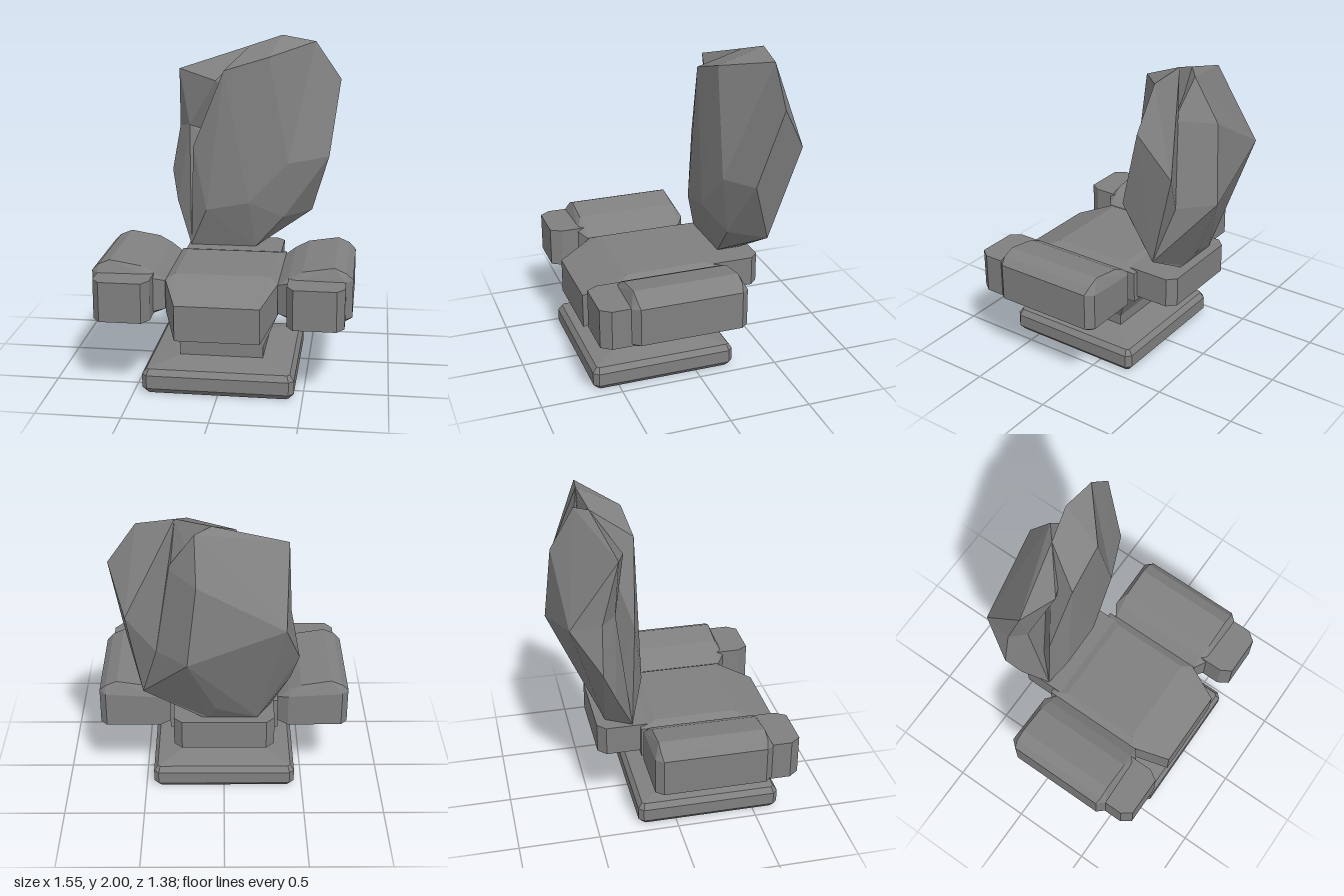
import * as THREE from 'three';
import { ConvexGeometry } from 'three/addons/geometries/ConvexGeometry.js';

const stone = new THREE.MeshStandardMaterial({ color: 0x808080 });
stone.name = 'grey stone';

// A faceted block wrapped around a few corner points
function block(name, points) {
  const mesh = new THREE.Mesh(new ConvexGeometry(points.map(p => new THREE.Vector3(...p))), stone);
  mesh.name = name;
  return mesh;
}

// Level rectangle with cut corners: half width, back z, front z, corner cut, height
function ring(hx, z0, z1, cut, y) {
  const pts = [];
  for (const s of [-1, 1]) {
    pts.push([s * hx, y, z0 + cut], [s * hx, y, z1 - cut]);
    if (cut > 0) pts.push([s * (hx - cut), y, z0], [s * (hx - cut), y, z1]);
  }
  return pts;
}

// Upright cross-section: [x, y] profile placed at z, mirrored by s
const section = (profile, z, s) => profile.map(([x, y]) => [s * x, y, z]);

export function createModel() {
  const model = new THREE.Group();
  model.name = 'stoneThrone';

  // Plinth with bevelled rims and a shallow sloping top
  model.add(block('plinth', [
    ...ring(0.42, -0.21, 0.63, 0.015, 0),
    ...ring(0.45, -0.24, 0.66, 0.03, 0.035),
    ...ring(0.45, -0.24, 0.66, 0.03, 0.115),
    ...ring(0.425, -0.215, 0.635, 0.015, 0.15),
    ...ring(0.25, -0.035, 0.455, 0, 0.18),
  ]));

  // Column and its flare under the seat
  model.add(block('column', [
    ...ring(0.25, -0.035, 0.455, 0, 0.17),
    ...ring(0.25, -0.035, 0.455, 0, 0.245),
  ]));
  model.add(block('columnFlare', [
    ...ring(0.25, -0.035, 0.455, 0, 0.245),
    ...ring(0.335, -0.135, 0.455, 0, 0.455),
  ]));

  // Seat slab with a bevelled top
  model.add(block('seat', [
    ...ring(0.335, -0.2, 0.45, 0, 0.45),
    ...ring(0.335, -0.2, 0.45, 0, 0.645),
    ...ring(0.285, -0.1, 0.4, 0, 0.672),
  ]));

  // Drooping front lip
  const lip = [];
  for (const s of [-1, 1]) {
    lip.push([s * 0.335, 0.45, 0.45], [s * 0.335, 0.645, 0.45], [s * 0.285, 0.672, 0.4],
      [s * 0.25, 0.56, 0.665], [s * 0.25, 0.345, 0.665]);
  }
  model.add(block('seatLip', lip));

  // Ledge behind the seat, carrying the boulder
  model.add(block('backLedge', [0.475, 0.66].flatMap(y => ring(0.305, -0.46, -0.1, 0.05, y))));

  // Armrests and their front knobs
  const full = [[0.335, 0.47], [0.335, 0.645], [0.4, 0.695], [0.775, 0.695], [0.775, 0.465]];
  const crown = [[0.48, 0.735], [0.665, 0.765], [0.735, 0.735], [0.735, 0.445], [0.4, 0.445]];
  const end = [[0.4, 0.465], [0.4, 0.67], [0.735, 0.69], [0.735, 0.465]];
  const knobPlan = [[0.4, 0.47], [0.4, 0.62], [0.44, 0.685], [0.69, 0.685], [0.735, 0.625], [0.735, 0.47]];
  for (const s of [-1, 1]) {
    const side = s > 0 ? 'left' : 'right';
    model.add(block(side + 'Armrest', [
      ...section(end, -0.2, s),
      ...section(full, -0.155, s), ...section(crown, -0.165, s),
      ...section(full, 0.465, s), ...section(crown, 0.475, s),
      ...section(end, 0.51, s),
    ]));
    model.add(block(side + 'ArmKnob',
      [0.45, 0.692].flatMap(y => knobPlan.map(([x, z]) => [s * x, y, z]))));
  }

  // Rough boulder backrest: overlapping lumps that share corners along its creases
  const top = [0.27, 2, -0.46], topLeft = [0.485, 1.965, -0.44], ridge = [0.07, 1.935, -0.415];
  const frontNotch = [0.335, 1.225, -0.195], chin = [0.31, 0.865, -0.24], hip = [0.48, 0.87, -0.43];
  const grooveTop = [0.32, 1.7, -0.46], grooveLow = [0.39, 1.2, -0.525];
  const rearPeak = [0.21, 1.2, -0.69], rearShoulder = [-0.35, 1.38, -0.615];
  const waistSide = [-0.385, 1.41, -0.43], waistFront = [-0.31, 1.43, -0.34];
  const foot = [-0.29, 0.66, -0.245];
  const backrest = new THREE.Group();
  backrest.name = 'boulderBackrest';
  backrest.add(block('frontLump', [
    top, topLeft, ridge, frontNotch, chin, hip, foot,
    [-0.07, 1.805, -0.18], [0.21, 1.89, -0.203], [0, 1.355, -0.18], [-0.27, 1.315, -0.22],
    [-0.18, 0.915, -0.165], [0.09, 0.97, -0.157], [0.13, 0.66, -0.25], [0.13, 0.66, -0.4],
    [-0.2, 0.66, -0.4],
  ]));
  backrest.add(block('sideLump', [
    top, topLeft, frontNotch, chin, hip, grooveTop, grooveLow,
    [0.65, 1.73, -0.44], [0.555, 1.46, -0.6], [0.59, 1.255, -0.3],
  ]));
  backrest.add(block('upperRearLump', [
    ridge, grooveTop, grooveLow, rearPeak, rearShoulder, waistSide, waistFront,
    [-0.37, 1.795, -0.325], [0.165, 1.92, -0.495], [0.155, 1.67, -0.645], [-0.13, 1.73, -0.255],
  ]));
  backrest.add(block('lowerRearLump', [
    rearPeak, rearShoulder, waistSide, waistFront, grooveLow, hip, foot,
    [-0.44, 1.11, -0.44], [-0.395, 0.92, -0.36], [0.315, 1.07, -0.56],
    [-0.2, 0.66, -0.4], [0.1, 0.66, -0.4], [0.05, 0.77, -0.475],
  ]));
  model.add(backrest);

  return model;
}
